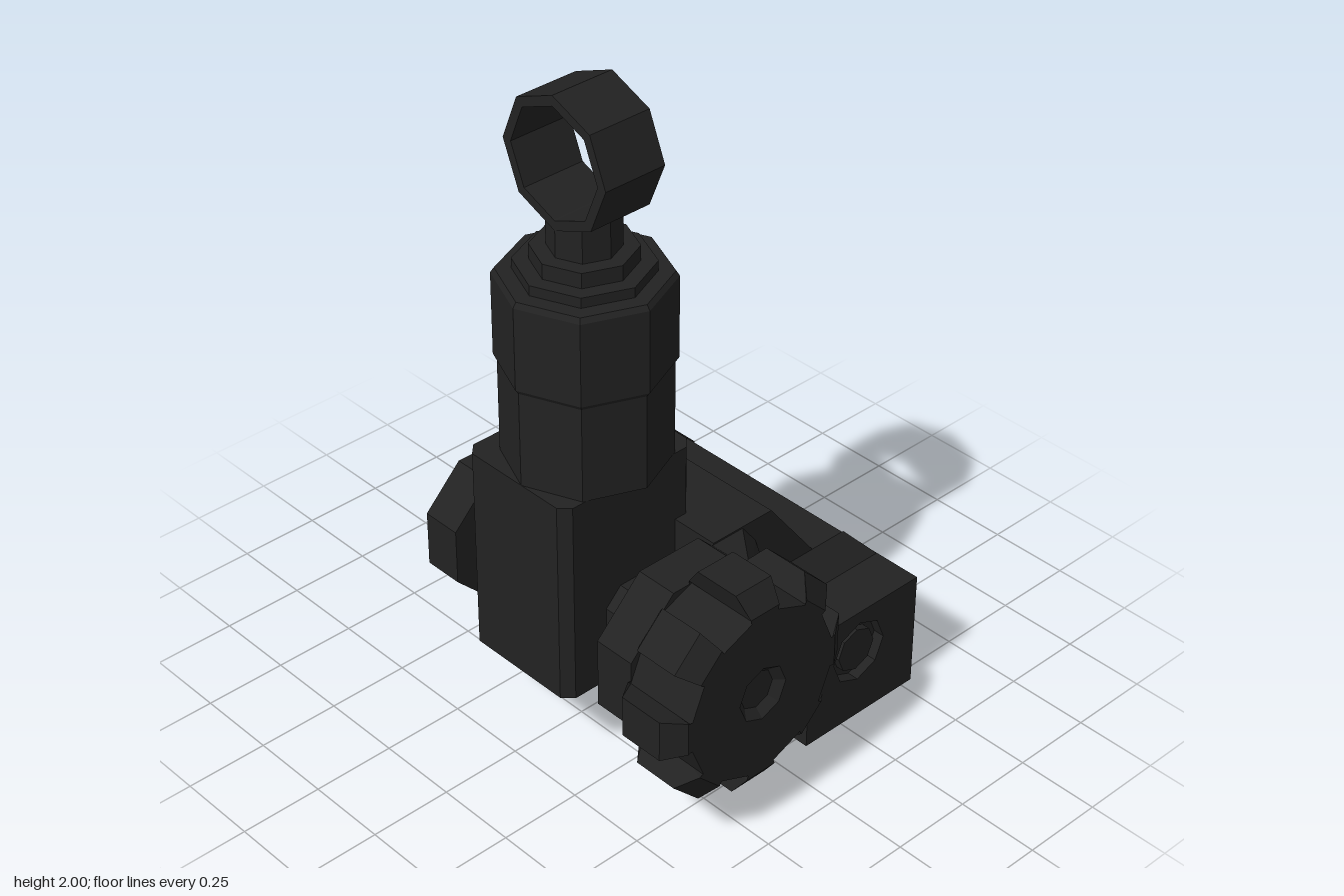
import * as THREE from 'three';

const blackMetal = new THREE.MeshStandardMaterial({ color: 0x222222 });
blackMetal.name = 'blackMetal';
const PX = -0.215, PY = 0.46; // pivot axis
const BX = 0.31, BY = 0.23;   // clamp bolt axis

export function createModel() {
  const model = new THREE.Group();

  const add = (name, geo, x = 0, y = 0, z = 0, parent = model) => {
    const flat = geo.index ? geo.toNonIndexed() : geo;
    flat.computeVertexNormals();
    const mesh = new THREE.Mesh(flat, blackMetal);
    mesh.name = name;
    mesh.position.set(x, y, z);
    parent.add(mesh);
    return mesh;
  };
  const shapeOf = pts => new THREE.Shape(pts.map(p => new THREE.Vector2(p[0], p[1])));
  // prism along z from z0 to z1
  const prism = (pts, z0, z1, hole) => {
    const s = shapeOf(pts);
    if (hole) s.holes.push(new THREE.Path(hole.map(p => new THREE.Vector2(p[0], p[1]))));
    return new THREE.ExtrudeGeometry(s, { depth: z1 - z0, bevelEnabled: false }).translate(0, 0, z0);
  };
  // closed skin through matching cross-sections [z, points]
  const loft = sections => {
    const v = [], n = sections[0][1].length;
    const at = (s, i) => [s[1][i % n][0], s[1][i % n][1], s[0]];
    const mid = s => [0, 1].map(k => s[1].reduce((a, p) => a + p[k], 0) / n).concat(s[0]);
    const first = sections[0], last = sections[sections.length - 1];
    for (let i = 0; i < n; i++) {
      for (let k = 0; k + 1 < sections.length; k++) {
        const a = at(sections[k], i), b = at(sections[k], i + 1);
        const c = at(sections[k + 1], i + 1), d = at(sections[k + 1], i);
        v.push(...a, ...b, ...c, ...a, ...c, ...d);
      }
      v.push(...mid(first), ...at(first, i + 1), ...at(first, i));
      v.push(...mid(last), ...at(last, i), ...at(last, i + 1));
    }
    const g = new THREE.BufferGeometry();
    g.setAttribute('position', new THREE.Float32BufferAttribute(v, 3));
    return g;
  };
  const octagon = (r, cx = 0, cy = 0, turn = 0) => Array.from({ length: 8 }, (_, i) => {
    const a = turn + i * Math.PI / 4;
    return [cx + r * Math.cos(a), cy + r * Math.sin(a)];
  });
  const FLAT = Math.PI / 8, FLAT_R = 1 / Math.cos(FLAT);

  // Sight post: stacked eight-sided tiers, turned so corners lie on the axes
  const tier = [
    [0.19, 0], [0.235, 0.89], [0.235, 1.18], [0.235, 1.181], [0.245, 1.195], [0.245, 1.445],
    [0.235, 1.46], [0.19, 1.46], [0.19, 1.49], [0.145, 1.49], [0.145, 1.535],
    [0.1, 1.535], [0.1, 1.645], [0, 1.645]
  ].map(p => new THREE.Vector2(p[0], p[1]));
  tier[0].set(0, 0.89);
  add('post', new THREE.LatheGeometry(tier, 8), PX, 0, 0);

  // Post block with chamfered upright edges
  const c = 0.03, x0 = -0.45, x1 = 0.02, b0 = -0.17, b1 = 0.23; // b = -z
  const block = prism([[x0 + c, b0], [x1 - c, b0], [x1, b0 + c], [x1, b1 - c],
    [x1 - c, b1], [x0 + c, b1], [x0, b1 - c], [x0, b0 + c]], 0.25, 0.89);
  add('postBlock', block.rotateX(-Math.PI / 2));

  // Aperture ring, axis across the model
  const ring = prism(octagon(0.193), -0.1, 0.1, octagon(0.163));
  add('apertureRing', ring.rotateY(Math.PI / 2), PX, 1.807, 0);

  // Pivot axle and the two ears that hold it
  add('pivotAxle', prism(octagon(0.09 * FLAT_R, PX, PY, FLAT), -0.45, 0.46));
  const ear = (r, right, yTop) => {
    const t = r * Math.tan(FLAT);
    return [[PX - t, PY - r], [right, PY - 0.21], [right, yTop], [PX + t, PY + r],
      [PX - t, PY + r], [PX - r, PY + t], [PX - r, PY - t]];
  };
  add('rearEar', loft([[-0.445, ear(0.208, -0.04, 0.668)], [-0.32, ear(0.208, 0.07, 0.668)]]));
  add('frontEar', prism(octagon(0.258 * FLAT_R, PX, PY, FLAT), 0.32, 0.45));
  add('frontEarWeb', loft([
    [0.32, [[-0.1, 0.25], [0.11, 0.25], [0.11, 0.6], [0.06, 0.665], [-0.1, 0.665]]],
    [0.45, [[-0.1, 0.25], [0.11, 0.25], [0.11, 0.37], [-0.03, 0.6], [-0.1, 0.6]]]
  ]));

  // Bridge body with sloping shoulder and bevelled front end
  add('bridge', prism([[-0.05, 0.25], [0.49, 0.25], [0.535, 0.29], [0.54, 0.37], [0.46, 0.45],
    [0.34, 0.45], [0.17, 0.67], [-0.05, 0.67]], -0.445, 0.32));
  add('bridgeFrontBevel', loft([
    [0.32, [[0.07, 0.25], [0.54, 0.25], [0.54, 0.37], [0.465, 0.45], [0.07, 0.45]]],
    [0.385, [[0.02, 0.25], [0.54, 0.25], [0.54, 0.37], [0.539, 0.37], [0.02, 0.37]]],
    [0.455, [[0.11, 0.25], [0.54, 0.25], [0.54, 0.37], [0.539, 0.37], [0.11, 0.37]]]
  ]));

  // Clamp feet with inward hooks
  const frontFoot = [[0.11, 0], [0.54, 0], [0.54, 0.37], [0.11, 0.37]];
  add('frontFoot', prism(frontFoot, 0.45, 0.505));
  add('frontFootFace', prism(frontFoot, 0.505, 0.54, octagon(0.1, BX, BY).reverse()));
  add('rearFoot', prism([[0.075, 0], [0.54, 0], [0.545, 0.37], [0.465, 0.45], [0.075, 0.45]],
    -0.595, -0.44));
  add('rearFootShoulder', prism([[0.075, 0.25], [0.545, 0.25], [0.545, 0.37], [0.465, 0.45],
    [0.075, 0.45]], -0.44, -0.37));
  const hook = (name, side, left) => {
    const pts = [[0.455, 0], [0.385, 0], [0.37, 0.045], [0.455, 0.13]].map(p => [-side * p[0], p[1]]);
    if (side > 0) pts.reverse();
    add(name, prism(pts, left, 0.54).rotateY(Math.PI / 2));
  };
  hook('frontHook', 1, 0.11);
  hook('rearHook', -1, 0.075);

  // Clamp bolt running between the feet
  add('clampBolt', prism(octagon(0.1, BX, BY), -0.45, 0.46));
  add('clampBoltEnd', prism(octagon(0.07, BX, BY), 0.5, 0.53));

  // Slotted nuts on the back
  const slottedNut = (name, r, tip, x, y, z, depth) => {
    const nut = new THREE.Group();
    nut.name = name;
    nut.position.set(x, y, z);
    nut.rotation.set(0, Math.PI, 0.12);
    const half = (a, w) => {
      const t = a * Math.tan(FLAT);
      return [[a, w], [a, t], [t, a], [-t, a], [-a, t], [-a, w]];
    };
    const mid = depth * 0.5;
    add('nutBase', prism(octagon(r * FLAT_R, 0, 0, FLAT), -0.01, mid), 0, 0, 0, nut);
    for (const turn of [0, Math.PI]) {
      const m = add('nutHalf', loft([[mid, half(r, 0.016)], [depth, half(tip, 0.016)]]), 0, 0, 0, nut);
      m.rotation.z = turn;
    }
    model.add(nut);
  };
  slottedNut('pivotNut', 0.145, 0.1, PX, PY, -0.445, 0.08);
  slottedNut('clampNut', 0.2, 0.155, BX, BY, -0.595, 0.09);

  // Adjustment knob: eight flared teeth, bevelled on both faces, dished centre
  const knobSection = tip => {
    const pts = [];
    for (let i = 0; i < 8; i++) {
      for (const [r, a] of [[0.262, -0.16], [tip, -0.19], [tip, 0.19], [0.262, 0.16]]) {
        const q = i * Math.PI / 4 + a;
        pts.push([r * Math.cos(q), r * Math.sin(q)]);
      }
    }
    return pts;
  };
  const dish = r => knobSection(0.27).map(p => {
    const a = Math.round(Math.atan2(p[1], p[0]) / (Math.PI / 4)) * Math.PI / 4;
    return [r * Math.cos(a), r * Math.sin(a)];
  });
  add('adjustmentKnob', loft([[0.45, knobSection(0.275)], [0.495, knobSection(0.337)],
    [0.635, knobSection(0.337)], [0.68, knobSection(0.275)], [0.68, dish(0.085)],
    [0.655, dish(0.06)]]), PX, PY, 0);

  return model;
}
